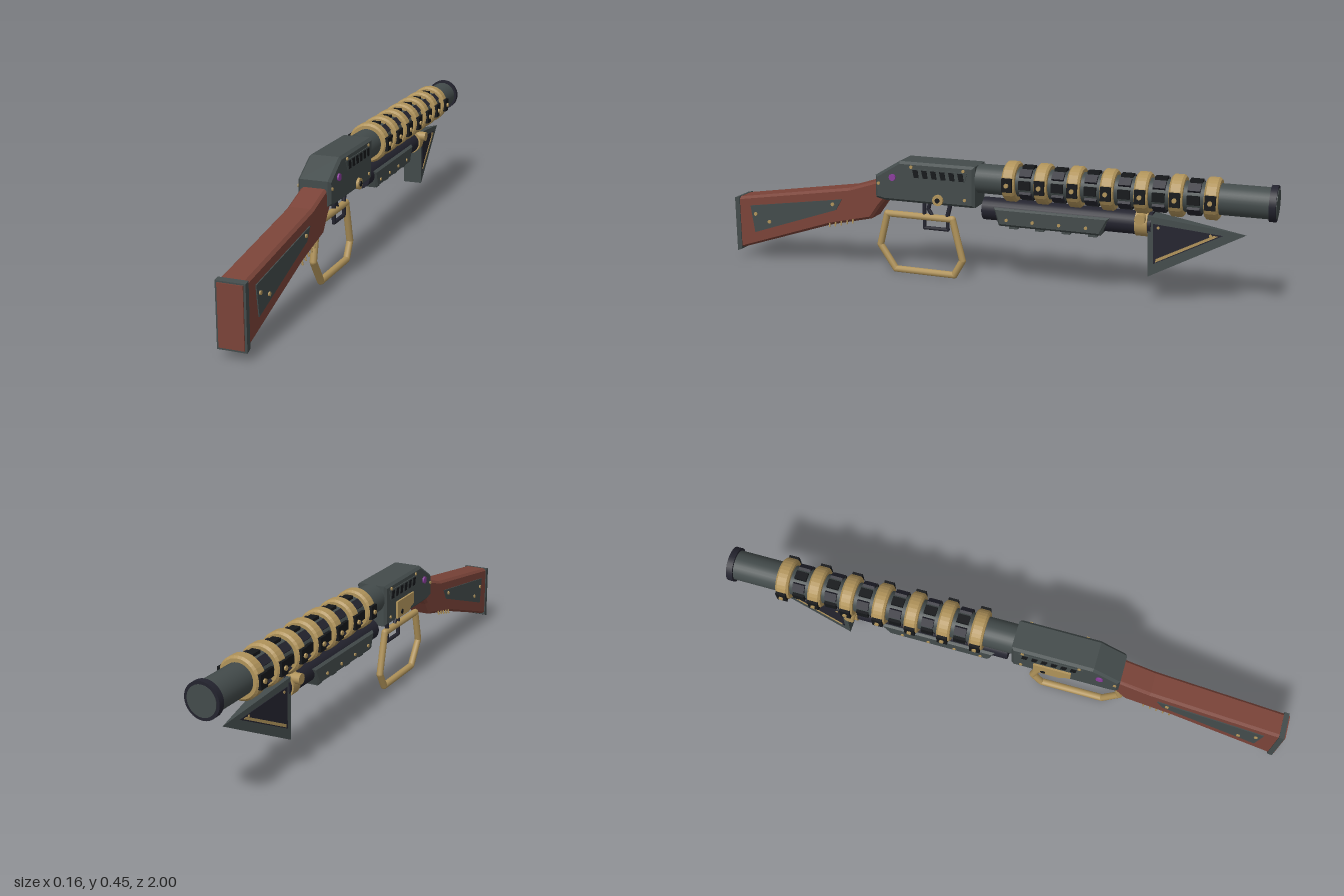
import * as THREE from 'three';

const mat = (name, color, side = THREE.FrontSide) => {
  const m = new THREE.MeshStandardMaterial({ color, side });
  m.name = name;
  return m;
};

export function createModel() {
  const root = new THREE.Group();
  root.name = 'fantasyRifle';
  const steel = mat('gunmetal', 0x434b4b);
  const brass = mat('brass', 0xb0935a);
  const navy = mat('darkNavy', 0x23232e);
  const black = mat('black', 0x15171a);
  const wood = mat('redWood', 0x7a4338);
  const purple = mat('purpleGem', 0x8a3d9c);

  const add = (name, geo, material, x = 0, y = 0, z = 0, parent = root) => {
    const mesh = new THREE.Mesh(geo, material);
    mesh.name = name;
    mesh.position.set(x, y, z);
    parent.add(mesh);
    return mesh;
  };
  const box = (name, w, h, d, m, x, y, z, parent) =>
    add(name, new THREE.BoxGeometry(w, h, d), m, x, y, z, parent);
  // Cylinder along z or along x
  const rodZ = (name, r, len, m, x, y, z, seg = 32) =>
    add(name, new THREE.CylinderGeometry(r, r, len, seg).rotateX(Math.PI / 2), m, x, y, z);
  const rodX = (name, r, len, m, x, y, z, seg = 10) =>
    add(name, new THREE.CylinderGeometry(r, r, len, seg).rotateZ(Math.PI / 2), m, x, y, z);
  // Side outline of [z, y] points, extruded symmetrically across x
  const slab = (name, pts, halfWidth, m, bevel = 0, x = 0) => {
    const shape = new THREE.Shape(pts.map(p => new THREE.Vector2(p[0], p[1])));
    const geo = new THREE.ExtrudeGeometry(shape, {
      depth: 2 * (halfWidth - bevel), bevelEnabled: bevel > 0, bevelThickness: bevel,
      bevelSize: bevel, bevelOffset: -bevel, bevelSegments: 1,
    });
    geo.translate(0, 0, -(halfWidth - bevel)).rotateY(-Math.PI / 2);
    return add(name, geo, m, x);
  };
  // Straight-sided tube through [z, y] points
  const bentTube = (name, pts, r, m, closed) => {
    const path = new THREE.CurvePath();
    const v = pts.map(p => new THREE.Vector3(0, p[1], p[0]));
    const n = closed ? v.length : v.length - 1;
    for (let i = 0; i < n; i++) path.add(new THREE.LineCurve3(v[i], v[(i + 1) % v.length]));
    const group = new THREE.Group();
    group.name = name;
    root.add(group);
    path.curves.forEach(c => add(name + 'Bar', new THREE.TubeGeometry(c, 1, r, 10), m, 0, 0, 0, group));
    v.forEach(p => add(name + 'Corner', new THREE.SphereGeometry(r, 10, 8), m, 0, p.y, p.z, group));
  };

  // Barrel and muzzle
  const axisY = 0.38;
  rodZ('barrel', 0.052, 1.02, steel, 0, axisY, -0.485);
  rodZ('muzzleBand', 0.06, 0.022, navy, 0, axisY, -0.987);
  rodZ('muzzleFace', 0.05, 0.004, steel, 0, axisY, -0.998);

  // Brass coil rings with side bolts, and dark blocks in the gaps
  const ringProfile = [[0.05, -0.023], [0.064, -0.023], [0.071, -0.016], [0.071, 0.016], [0.064, 0.023], [0.05, 0.023]]
    .map(p => new THREE.Vector2(p[0], p[1]));
  const ringMat = brass.clone();
  ringMat.name = 'brassRing';
  const ringGeo = new THREE.LatheGeometry(ringProfile, 32).toNonIndexed().rotateX(Math.PI / 2);
  ringGeo.computeVertexNormals();
  for (let i = 0; i < 7; i++) {
    const z = -0.1 - i * 0.1155;
    add('coilRing', ringGeo, brass, 0, axisY, z);
    for (const s of [-1, 1]) {
      box('boltBlock', 0.014, 0.048, 0.036, black, s * 0.069, axisY, z);
      rodX('ringBolt', 0.008, 0.01, brass, s * 0.077, axisY, z);
    }
    if (i === 6) continue;
    for (let k = 0; k < 8; k++) {
      const a = k * Math.PI / 4;
      const b = box('coilBlock', 0.012, 0.03, 0.042, k % 2 ? navy : black,
        Math.cos(a) * 0.054, axisY + Math.sin(a) * 0.054, z - 0.058);
      b.rotation.z = a;
    }
  }

  // Receiver
  slab('receiver', [[0.405, 0.29], [0.405, 0.372], [0.31, 0.43], [0.025, 0.43], [0.025, 0.283], [0.37, 0.283]],
    0.057, steel, 0.009);
  for (const s of [-1, 1]) {
    slab('ventPanel', [[0.275, 0.408], [0.255, 0.372], [0.06, 0.372], [0.05, 0.408]], 0.002, steel, 0, s * 0.058);
    for (let i = 0; i < 6; i++) {
      const z = 0.245 - i * 0.034;
      slab('ventSlot', [[z + 0.011, 0.404], [z + 0.005, 0.376], [z - 0.013, 0.376], [z - 0.009, 0.404]],
        0.002, black, 0, s * 0.06);
    }
    rodX('gem', 0.013, 0.008, purple, s * 0.059, 0.37, 0.335, 8);
    for (const [z, y] of [[0.39, 0.345], [0.262, 0.413], [0.065, 0.413], [0.06, 0.31]])
      rodX('receiverRivet', 0.006, 0.006, brass, s * 0.058, y, z, 8);
  }
  // Loading plate on the right, pivot knob on the left
  slab('loadingPlate', [[0.237, 0.353], [0.105, 0.353], [0.105, 0.29], [0.2, 0.29], [0.215, 0.305], [0.237, 0.31]],
    0.004, brass, 0, -0.06);
  rodX('plateScrew', 0.009, 0.006, black, -0.063, 0.308, 0.14);
  rodX('pivotKnob', 0.02, 0.012, brass, 0.06, 0.302, 0.16, 12);
  rodX('pivotKnobCentre', 0.009, 0.006, black, 0.066, 0.302, 0.16);

  // Stock, butt plate and side inlays
  slab('stock', [[0.99, 0.036], [0.99, 0.237], [0.515, 0.312], [0.37, 0.358], [0.37, 0.284], [0.395, 0.255],
    [0.43, 0.205], [0.6, 0.165]], 0.045, wood, 0.009);
  slab('buttPlate', [[0.996, 0.028], [0.996, 0.236], [0.977, 0.24], [0.977, 0.036]], 0.048, steel);
  box('buttPad', 0.082, 0.196, 0.004, wood, 0, 0.133, 0.998);
  for (const s of [-1, 1]) {
    slab('stockInlay', [[0.93, 0.21], [0.545, 0.268], [0.57, 0.226], [0.915, 0.108]], 0.003, steel, 0, s * 0.0455);
    for (const [z, y] of [[0.908, 0.18], [0.85, 0.155], [0.582, 0.247]])
      rodX('inlayRivet', 0.007, 0.006, brass, s * 0.05, y, z, 8);
    // Pins along the grip underside
    for (let i = 0; i < 5; i++) {
      const pin = add('gripPin', new THREE.CylinderGeometry(0.004, 0.003, 0.032, 6), brass,
        s * 0.042, 0.173 + i * 0.006, 0.6 - i * 0.024);
      pin.rotation.z = s * 0.2;
    }
  }

  // Lever loop, trigger bracket and trigger
  bentTube('leverLoop', [[0.415, 0.1], [0.385, 0.22], [0.13, 0.22], [0.092, 0.07], [0.125, 0.0125], [0.355, 0.0125]],
    0.0125, brass, true);
  bentTube('triggerBracket', [[0.238, 0.285], [0.238, 0.18], [0.148, 0.18], [0.148, 0.22]], 0.007, navy, false);
  bentTube('trigger', [[0.215, 0.285], [0.222, 0.25], [0.2, 0.215]], 0.007, navy, false);
  bentTube('leverLink', [[0.135, 0.285], [0.15, 0.225]], 0.008, navy, false);

  // Magazine tube and fore-end
  rodZ('magazineTube', 0.04, 0.6, navy, 0, 0.275, -0.295, 24);
  slab('foreEnd', [[-0.04, 0.29], [-0.455, 0.29], [-0.425, 0.226], [-0.06, 0.226]], 0.046, steel, 0.008);
  for (let i = 0; i < 4; i++) {
    const z = -0.11 - i * 0.095;
    box('foreEndRib', 0.06, 0.014, 0.03, steel, 0, 0.223, z);
    for (const s of [-1, 1]) rodX('foreEndRivet', 0.006, 0.006, brass, s * 0.047, 0.25, z + 0.02, 8);
  }

  // Bayonet clamp
  rodZ('bayonetClamp', 0.046, 0.042, brass, 0, 0.277, -0.562, 24);
  rodX('clampBolt', 0.018, 0.126, brass, 0, 0.3, -0.562, 12);
  box('clampStem', 0.03, 0.07, 0.03, brass, 0, 0.315, -0.562);

  // Bayonet: a pyramid with its point toward the muzzle
  const halfBase = 0.036, baseZ = -0.583, tip = [0, 0.265, -0.905];
  const blade = new THREE.BufferGeometry();
  const A = [halfBase, 0.31, baseZ], B = [-halfBase, 0.31, baseZ];
  const C = [-halfBase, 0.1, baseZ - 0.008], D = [halfBase, 0.1, baseZ - 0.008];
  const tris = [A, tip, B, B, tip, C, C, tip, D, D, tip, A, A, B, C, A, C, D];
  blade.setAttribute('position', new THREE.Float32BufferAttribute(tris.flat(), 3));
  blade.computeVertexNormals();
  add('bayonet', blade, steel);
  // Thin plates laid on the tapering sides
  const sidePlate = (name, pts, thick, m, s) => {
    const mesh = slab(name, pts, thick, m);
    const p = mesh.geometry.attributes.position;
    for (let i = 0; i < p.count; i++) {
      const t = (p.getZ(i) - tip[2]) / (baseZ - tip[2]);
      p.setX(i, p.getX(i) + s * halfBase * t);
    }
    mesh.geometry.computeVertexNormals();
  };
  for (const s of [-1, 1]) {
    sidePlate('bayonetPanel', [[-0.602, 0.284], [-0.83, 0.258], [-0.607, 0.145]], 0.002, navy, s);
    sidePlate('bayonetTrim', [[-0.615, 0.163], [-0.8, 0.257], [-0.815, 0.255], [-0.615, 0.152]], 0.004, brass, s);
    for (const [z, y] of [[-0.62, 0.272], [-0.79, 0.256]])
      rodX('bayonetRivet', 0.005, 0.008, brass, s * halfBase * (z - tip[2]) / (baseZ - tip[2]), y, z, 8);
  }
  return root;
}
